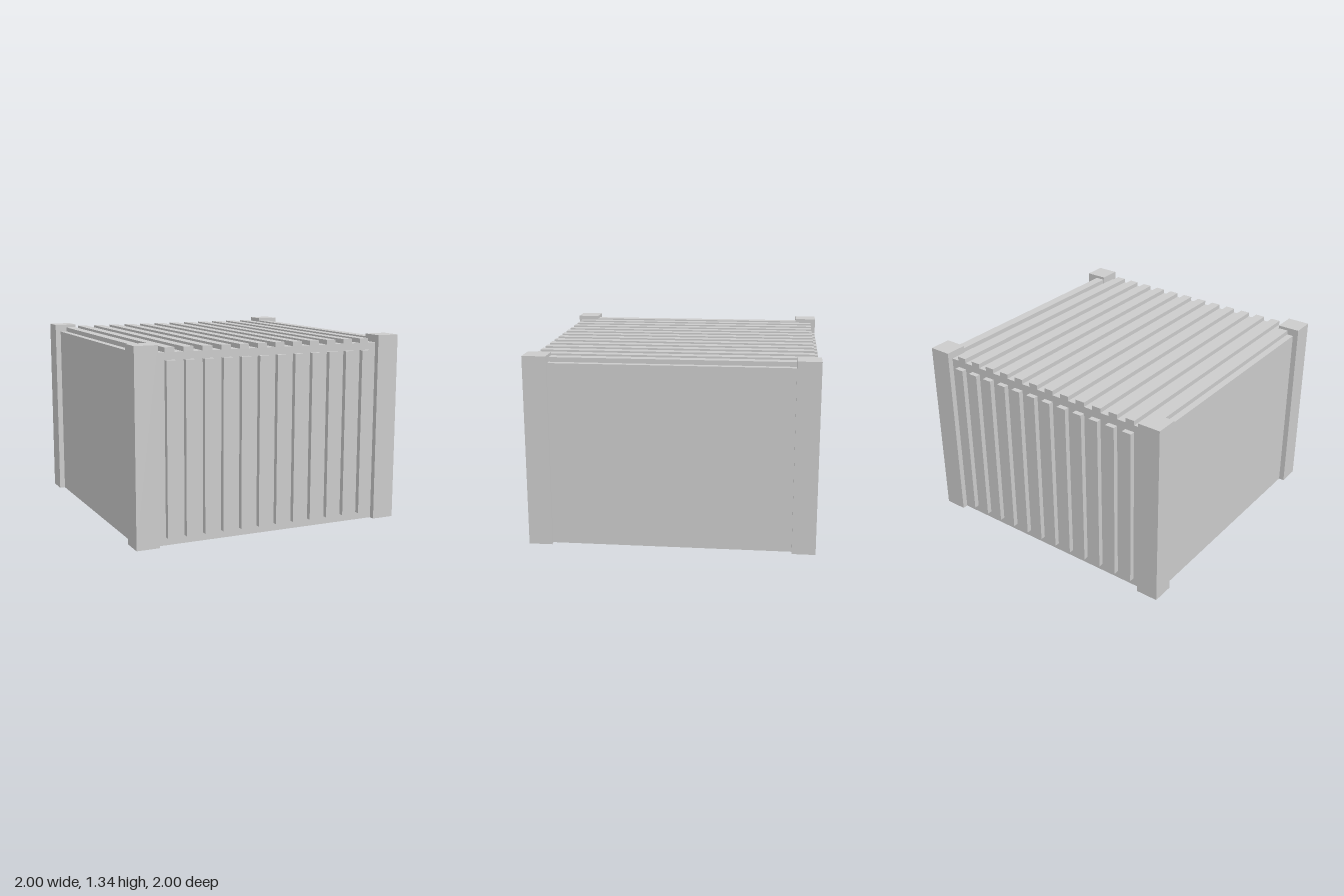
import * as THREE from 'three';

const material = new THREE.MeshStandardMaterial({ color: 0xcccccc, flatShading: true });

// Box given by its lower and upper limits on each axis
function box(name, [x0, x1], [y0, y1], [z0, z1]) {
  const mesh = new THREE.Mesh(new THREE.BoxGeometry(x1 - x0, y1 - y0, z1 - z0), material);
  mesh.position.set((x0 + x1) / 2, (y0 + y1) / 2, (z0 + z1) / 2);
  mesh.name = name;
  return mesh;
}

export function createModel() {
  const model = new THREE.Group();
  model.name = 'slattedCrate';

  const half = 0.96, bodyTop = 1.29;
  model.add(box('body', [-half, half], [0, bodyTop], [-half, half]));

  // Corner posts
  for (const sx of [-1, 1]) {
    for (const sz of [-1, 1]) {
      const post = box('cornerPost', [-0.0815, 0.0815], [0, 1.343], [-0.0815, 0.0815]);
      post.position.x = sx * 0.9185;
      post.position.z = sz * 0.9185;
      model.add(post);
    }
  }

  // Evenly pitched slats: 14 across the lid, the inner 12 repeated on front and back
  const pitch = 0.135, w = 0.035;
  for (let i = 0; i < 14; i++) {
    const x = (i - 6.5) * pitch;
    const span = [x - w, x + w];
    model.add(box('lidSlat', span, [bodyTop - 0.01, 1.322], [-half, half]));
    if (i === 0 || i === 13) continue;
    model.add(box('frontSlat', span, [0.055, 1.24], [half - 0.01, 0.997]));
    model.add(box('backSlat', span, [0.055, 1.24], [-0.997, -half + 0.01]));
  }
  return model;
}
